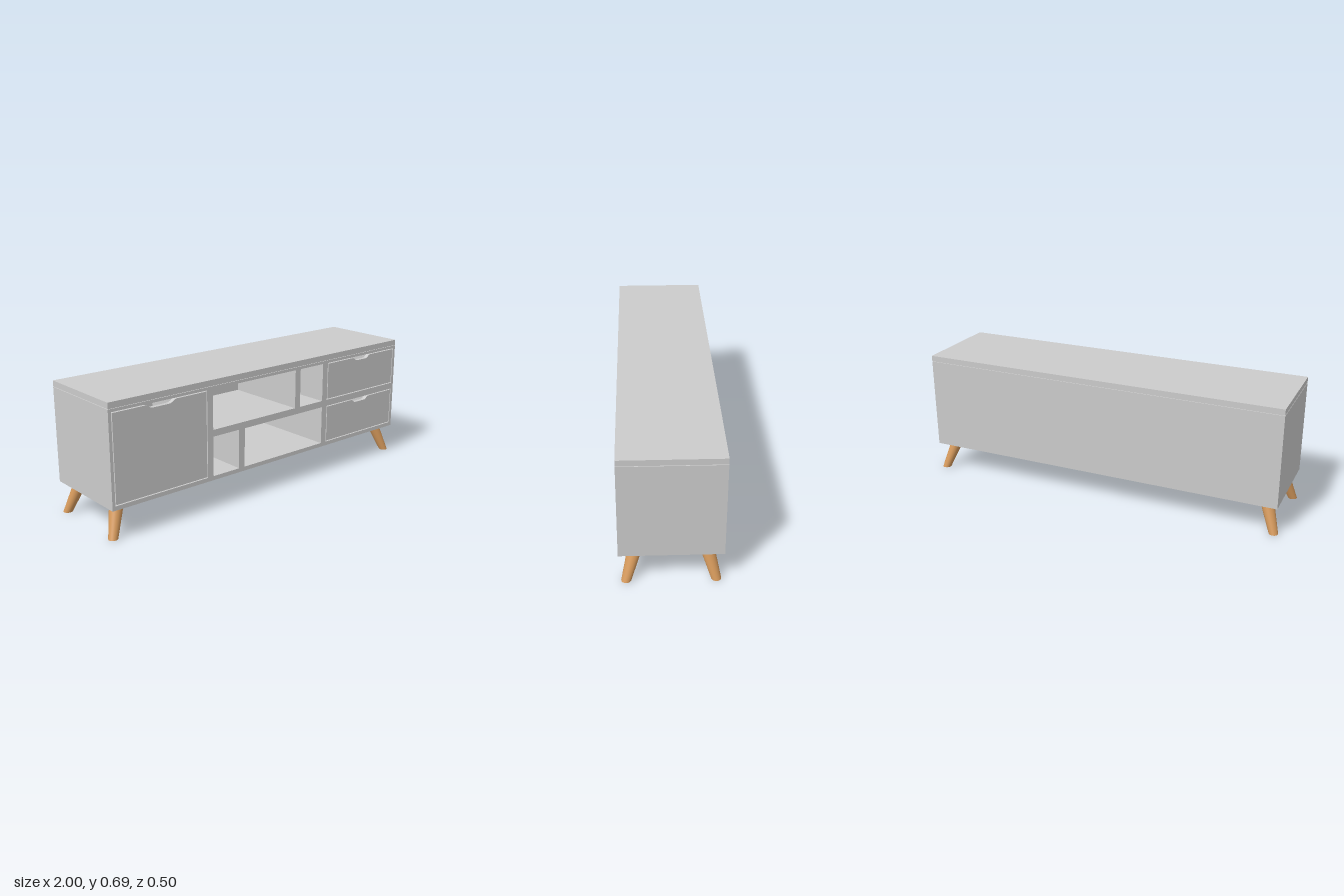
import * as THREE from 'three';

const grey = new THREE.MeshStandardMaterial({ color: 0xcccccc });
const wood = new THREE.MeshStandardMaterial({ color: 0xd69a5c });

const W = 0.993, D = 0.249, Y0 = 0.158, Y1 = 0.655, BACK = 0.02;

// Openings in the front: [x0, x1, y0, y1]
const door = [-0.977, -0.426, 0.18, 0.64];
const drawers = [[0.423, 0.975, 0.428, 0.64], [0.423, 0.975, 0.18, 0.392]];
const shelves = [
  [-0.39, 0.177, 0.428, 0.64], [0.214, 0.386, 0.428, 0.64],
  [-0.39, -0.22, 0.18, 0.392], [-0.182, 0.386, 0.18, 0.392],
];

function mesh(name, geometry, material = grey) {
  const m = new THREE.Mesh(geometry, material);
  m.name = name;
  return m;
}

function box(name, w, h, d, x, y, z) {
  const m = mesh(name, new THREE.BoxGeometry(w, h, d));
  m.position.set(x, y, z);
  return m;
}

function rect(target, [x0, x1, y0, y1]) {
  target.moveTo(x0, y0);
  target.lineTo(x1, y0);
  target.lineTo(x1, y1);
  target.lineTo(x0, y1);
  target.closePath();
  return target;
}

// Flush front panel with a curved finger notch in its top edge
function frontPanel(name, [x0, x1, y0, y1], half) {
  const g = 0.005, c = (x0 + x1) / 2, top = y1 - g, low = y1 - 0.023;
  const s = new THREE.Shape();
  s.moveTo(x0 + g, y0 + g);
  s.lineTo(x1 - g, y0 + g);
  s.lineTo(x1 - g, top);
  s.lineTo(c + half, top);
  s.bezierCurveTo(c + half * 0.75, top, c + half * 0.75, low, c + half * 0.45, low);
  s.lineTo(c - half * 0.45, low);
  s.bezierCurveTo(c - half * 0.75, low, c - half * 0.75, top, c - half, top);
  s.lineTo(x0 + g, top);
  s.closePath();
  const m = mesh(name, new THREE.ExtrudeGeometry(s, { depth: 0.022, bevelEnabled: false, curveSegments: 8 }));
  m.position.z = D - 0.022;
  return m;
}

// Tapered leg, sheared outwards so both ends stay level
function leg(sx, sz) {
  const h = Y0;
  const geo = new THREE.CylinderGeometry(0.036, 0.024, h, 32);
  geo.applyMatrix4(new THREE.Matrix4().set(
    1, -sx * 0.056 / h, 0, sx * 0.948,
    0, 1, 0, h / 2,
    0, -sz * 0.046 / h, 1, sz * 0.19,
    0, 0, 0, 1));
  geo.computeVertexNormals();
  // Level caps keep their straight normals, the seam is smoothed by the radial rule
  const p = geo.attributes.position, n = geo.attributes.normal;
  for (let i = 0; i < 66; i++) {
    const a = (i % 33) / 32 * Math.PI * 2;
    const nx = Math.sin(a), nz = Math.cos(a);
    const ny = (nx * sx * 0.056 + nz * sz * 0.046 - 0.012) / h;
    const v = new THREE.Vector3(nx, ny, nz).normalize();
    n.setXYZ(i, v.x, v.y, v.z);
  }
  p.needsUpdate = true;
  return mesh('leg', geo, wood);
}

export function createModel() {
  const model = new THREE.Group();
  model.name = 'mediaCabinet';

  // Carcass with open compartments
  const shape = rect(new THREE.Shape(), [-W, W, Y0, Y1]);
  for (const o of [door, ...drawers, ...shelves]) shape.holes.push(rect(new THREE.Path(), o));
  const carcass = mesh('carcass', new THREE.ExtrudeGeometry(shape, { depth: 2 * D - BACK, bevelEnabled: false }));
  carcass.position.z = -D + BACK;
  model.add(carcass);
  model.add(box('backPanel', 2 * W, Y1 - Y0, BACK, 0, (Y0 + Y1) / 2, -D + BACK / 2));

  // Top board above a thin shadow gap
  model.add(box('topSpacer', 2 * W - 0.01, 0.004, 2 * D - 0.01, 0, Y1 + 0.002, 0));
  model.add(box('topBoard', 2 * W, 0.03, 2 * D, 0, 0.673, 0));

  // Door and drawer fronts
  model.add(frontPanel('door', door, 0.095));
  for (const d of drawers) model.add(frontPanel('drawerFront', d, 0.075));

  // Splayed legs
  for (const sx of [-1, 1]) for (const sz of [-1, 1]) model.add(leg(sx, sz));

  return model;
}
